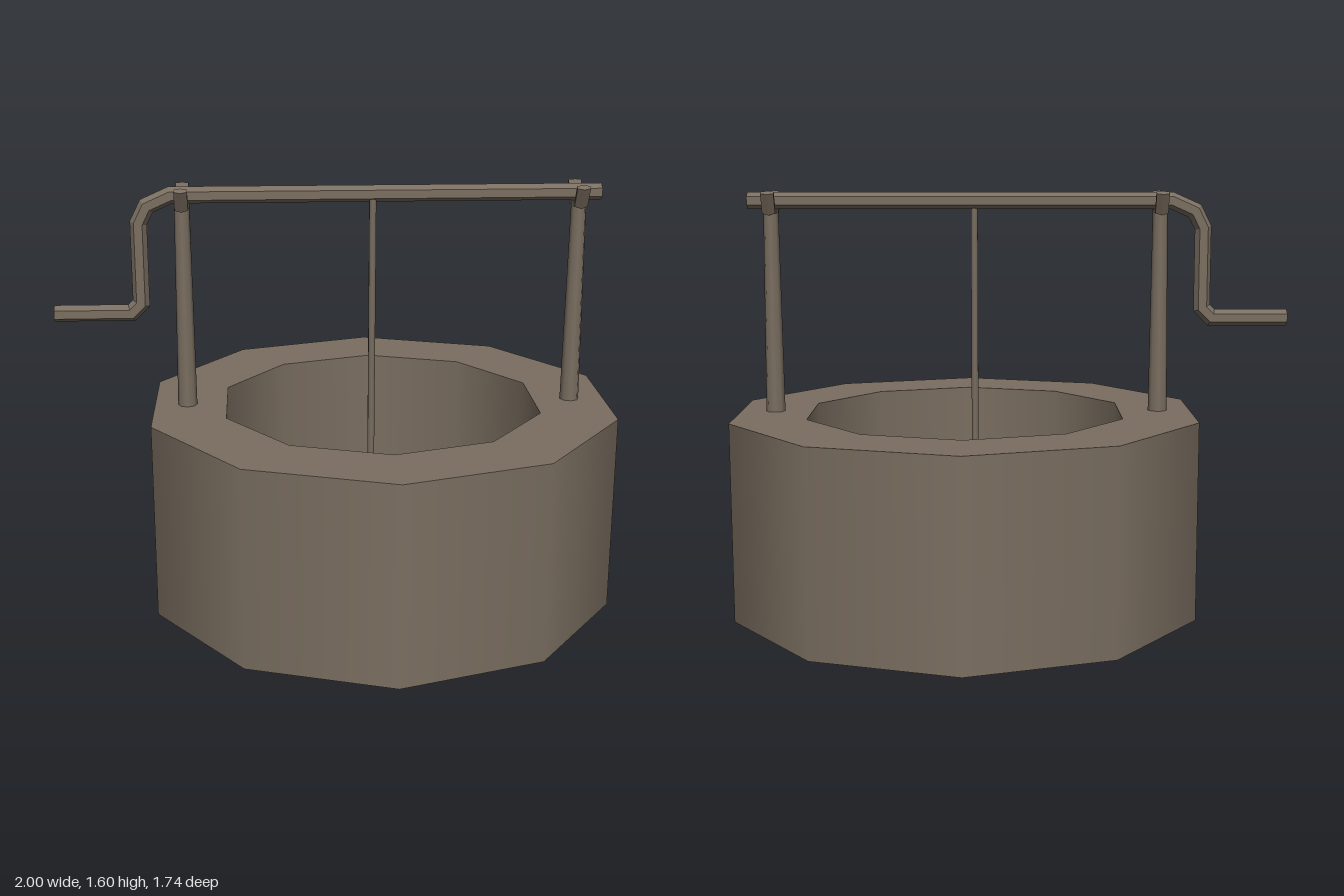
import * as THREE from 'three';

const weathered = new THREE.MeshStandardMaterial({ color: 0x7a6e60, side: THREE.DoubleSide });
weathered.name = 'weathered brown';

const WELL_X = 0.172, OUTER = 0.868, INNER = 0.592, BASE = 0.08, RIM = 0.8;

function add(group, name, geometry, x = 0, y = 0, z = 0) {
  const mesh = new THREE.Mesh(geometry, weathered);
  mesh.name = name;
  mesh.position.set(x, y, z);
  group.add(mesh);
  return mesh;
}

// Faceted bar with mitred corners along a path lying in the plane with normal `side`
function bar(path, side, sides, rIn, rSide) {
  const pts = path.map(p => new THREE.Vector3(...p));
  const dirs = pts.slice(1).map((p, i) => p.clone().sub(pts[i]).normalize());
  const rings = pts.map((p, i) => {
    const a = dirs[Math.max(i - 1, 0)], b = dirs[Math.min(i, dirs.length - 1)];
    const tangent = a.clone().add(b).normalize();
    const normal = side.clone().cross(tangent).multiplyScalar(rIn / tangent.dot(a));
    return Array.from({ length: sides }, (_, k) => {
      const t = k / sides * Math.PI * 2;
      return p.clone().addScaledVector(normal, Math.cos(t)).addScaledVector(side, rSide * Math.sin(t));
    });
  });
  const tris = [], last = rings.length - 1;
  for (let k = 0; k < sides; k++) {
    const n = (k + 1) % sides;
    for (let i = 0; i < last; i++) {
      const a = rings[i], b = rings[i + 1];
      tris.push(a[k], a[n], b[k], a[n], b[n], b[k]);
    }
    tris.push(pts[0], rings[0][n], rings[0][k], pts[last], rings[last][k], rings[last][n]);
  }
  const geometry = new THREE.BufferGeometry().setFromPoints(tris);
  geometry.computeVertexNormals();
  return geometry;
}

export function createModel() {
  const model = new THREE.Group();
  model.name = 'well';

  // Ten-sided wall, open underneath
  const midY = (BASE + RIM) / 2, height = RIM - BASE;
  add(model, 'outerWall', new THREE.CylinderGeometry(OUTER, OUTER, height, 10, 1, true), WELL_X, midY);
  const inner = new THREE.CylinderGeometry(INNER, INNER, height, 10, 1, true);
  inner.scale(-1, 1, 1); // mirrored so that the faces look inward
  const normals = inner.attributes.normal;
  for (let i = 0; i < normals.count; i++) {
    normals.setXYZ(i, -normals.getX(i), 0, -normals.getZ(i));
  }
  add(model, 'innerWall', inner, WELL_X, midY);
  const rim = new THREE.RingGeometry(INNER, OUTER, 10, 1, Math.PI / 2);
  rim.rotateX(-Math.PI / 2);
  add(model, 'rim', rim, WELL_X, RIM);

  // Posts, each with a forked cradle
  for (const [name, x] of [['right', -0.535], ['left', 0.872]]) {
    const support = new THREE.Group();
    support.name = name + 'Support';
    support.position.x = x;
    add(support, 'post', new THREE.CylinderGeometry(0.027, 0.035, 0.75, 8), 0, 1.165, 0.013);
    const cradle = [[0, 1.597, 0.088], [0, 1.53, 0.052], [0, 1.53, -0.04], [0, 1.597, -0.073]];
    add(support, 'cradle', bar(cradle, new THREE.Vector3(1, 0, 0), 6, 0.014, 0.027));
    model.add(support);
  }

  // Axle bent into a crank handle
  const crank = [
    [-1, 1.145, 0], [-0.725, 1.145, 0], [-0.69, 1.18, 0], [-0.69, 1.47, 0],
    [-0.66, 1.53, 0], [-0.575, 1.568, 0], [0.953, 1.568, 0],
  ];
  add(model, 'crankAxle', bar(crank, new THREE.Vector3(0, 0, 1), 6, 0.03, 0.03));

  // Rope hanging down the shaft
  add(model, 'rope', new THREE.CylinderGeometry(0.014, 0.014, 1.56, 6), 0.138, 0.78, 0.008);
  return model;
}
